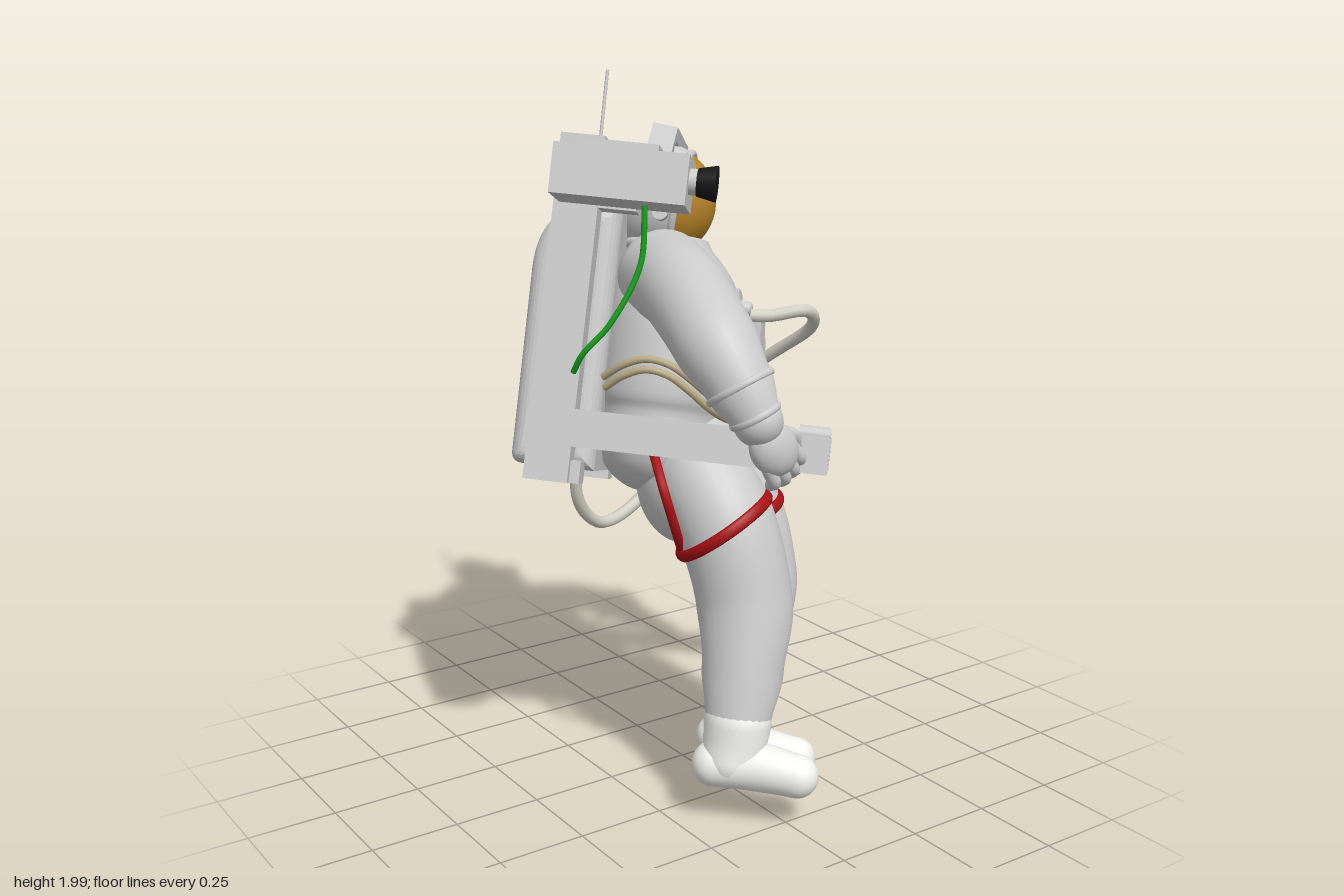
import * as THREE from 'three';

const V = (a) => new THREE.Vector3(a[0], a[1], a[2]);
const paint = (color) => new THREE.MeshStandardMaterial({ color, side: THREE.DoubleSide });
const grey = paint(0xcccccc), white = paint(0xf2f2ee), gold = paint(0xb98528), red = paint(0xa81014),
  green = paint(0x14a01c), tan = paint(0xb9aa86), hoseGrey = paint(0xd2d0c4), black = paint(0x161616);

function add(parent, name, geo, mat, pos = [0, 0, 0], rot = [0, 0, 0]) {
  const m = new THREE.Mesh(geo, mat);
  m.name = name;
  m.position.set(...pos);
  m.rotation.set(...rot);
  parent.add(m);
  return m;
}

const box = (parent, name, size, pos, rot) => add(parent, name, new THREE.BoxGeometry(...size), grey, pos, rot);

function cable(parent, name, pts, r, mat) {
  return add(parent, name, new THREE.TubeGeometry(new THREE.CatmullRomCurve3(pts.map(V)), 64, r, 10), mat);
}

// Tapered limb through [x, y, z, radius] stations, with round ends
function limb(parent, name, pts, mat) {
  const curve = new THREE.CatmullRomCurve3(pts.map(V));
  const rings = 40, sides = 28;
  const geo = new THREE.TubeGeometry(curve, rings, 1, sides);
  const pos = geo.attributes.position, nor = geo.attributes.normal;
  for (let i = 0; i <= rings; i++) {
    const c = curve.getPointAt(i / rings);
    const s = curve.getUtoTmapping(i / rings) * (pts.length - 1);
    const k = Math.min(Math.floor(s), pts.length - 2);
    const r = THREE.MathUtils.lerp(pts[k][3], pts[k + 1][3], THREE.MathUtils.smoothstep(s - k, 0, 1));
    for (let j = 0; j <= sides; j++) {
      const n = i * (sides + 1) + j;
      pos.setXYZ(n, c.x + nor.getX(n) * r, c.y + nor.getY(n) * r, c.z + nor.getZ(n) * r);
    }
  }
  const g = new THREE.Group();
  g.name = name;
  add(g, name + 'Skin', geo, mat);
  for (const p of [pts[0], pts[pts.length - 1]]) add(g, name + 'End', new THREE.SphereGeometry(p[3], 24, 16), mat, p.slice(0, 3));
  parent.add(g);
  return curve;
}

// Ring whose axis follows a given direction
function ring(parent, name, center, axis, r, tube, flat, mat) {
  const m = add(parent, name, new THREE.TorusGeometry(r, tube, 10, 40), mat, center);
  m.scale.z = flat;
  m.quaternion.setFromUnitVectors(new THREE.Vector3(0, 0, 1), V(axis).normalize());
}

// Glove: palm, four curled fingers and a thumb; dir = towards fingertips, across = towards thumb
function hand(parent, name, pos, dir, across) {
  const y = V(dir).normalize();
  const z = new THREE.Vector3().crossVectors(V(across), y).normalize();
  const x = new THREE.Vector3().crossVectors(y, z);
  const g = new THREE.Group();
  g.name = name;
  g.position.set(...pos);
  g.quaternion.setFromRotationMatrix(new THREE.Matrix4().makeBasis(x, y, z));
  g.scale.setScalar(1.2);
  add(g, 'palm', new THREE.SphereGeometry(1, 24, 16), grey).scale.set(0.055, 0.065, 0.036);
  for (let i = 0; i < 4; i++) {
    const fx = -0.036 + i * 0.024, len = 0.05 + (i % 3 ? 0.012 : 0);
    limb(g, 'finger', [[fx, 0.03, 0, 0.016], [fx * 1.1, 0.03 + len * 0.7, 0.008, 0.015], [fx * 1.1, 0.03 + len, 0.035, 0.013]], grey);
  }
  limb(g, 'thumb', [[0.035, -0.01, 0.01, 0.019], [0.062, 0.025, 0.025, 0.016], [0.06, 0.055, 0.04, 0.014]], grey);
  parent.add(g);
}

// Pack case: side outline with a rounded upper back, widened with soft edges
function packGeometry() {
  const s = new THREE.Shape();
  s.moveTo(-0.12, -0.37);
  s.lineTo(-0.32, -0.37);
  s.quadraticCurveTo(-0.35, -0.37, -0.351, -0.34);
  s.lineTo(-0.352, 0.16);
  s.quadraticCurveTo(-0.35, 0.33, -0.21, 0.345);
  s.lineTo(-0.12, 0.345);
  const bevel = 0.045, width = 0.48;
  const geo = new THREE.ExtrudeGeometry(s, { depth: width - 2 * bevel, bevelThickness: bevel, bevelSize: bevel, bevelOffset: -bevel, bevelSegments: 6, curveSegments: 18 });
  return geo.translate(0, 0, bevel - width / 2).rotateY(-Math.PI / 2);
}

export function createModel() {
  const root = new THREE.Group();
  root.name = 'spacewalker';

  // Tilted frame of the torso and jet pack: x = own left, y = up, z = forward
  const body = new THREE.Group();
  body.name = 'body';
  const up = V([0.231, 0.963, -0.139]).normalize();
  const left = new THREE.Vector3().crossVectors(up, V([0.75, -0.07, 0.66])).normalize();
  const fwd = new THREE.Vector3().crossVectors(left, up);
  body.quaternion.setFromRotationMatrix(new THREE.Matrix4().makeBasis(left, up, fwd));
  body.position.set(-0.03, 1.25, -0.06);
  root.add(body);

  // Torso and pelvis
  const profile = [[0, -0.42], [0.1, -0.405], [0.19, -0.35], [0.228, -0.26], [0.232, -0.19], [0.252, -0.14], [0.257, 0],
    [0.25, 0.1], [0.225, 0.18], [0.17, 0.24], [0.125, 0.275], [0.105, 0.3]];
  const spline = new THREE.SplineCurve(profile.map((p) => new THREE.Vector2(...p)));
  const outline = spline.getPoints(44).map((p) => new THREE.Vector2(Math.max(p.x, 0), p.y));
  add(body, 'torso', new THREE.LatheGeometry(outline, 48), grey, [0, 0, 0.02]).scale.z = 0.76;
  add(body, 'pelvis', new THREE.SphereGeometry(1, 40, 28), grey, [0, -0.35, 0.125]).scale.set(0.205, 0.2, 0.155);
  add(body, 'neckRing', new THREE.TorusGeometry(0.118, 0.014, 12, 40), grey, [0, 0.27, -0.02], [Math.PI / 2, 0, 0]);

  // Helmet with gold visor
  const helmet = new THREE.Group();
  helmet.name = 'helmet';
  helmet.position.set(0.003, 0.403, -0.05);
  helmet.rotation.x = 0.11;
  body.add(helmet);
  const cap = THREE.MathUtils.degToRad(66);
  add(helmet, 'helmetShell', new THREE.SphereGeometry(0.162, 48, 24, 0, Math.PI * 2, cap, Math.PI - cap).rotateX(Math.PI / 2), grey);
  add(helmet, 'visor', new THREE.SphereGeometry(0.158, 48, 24, 0, Math.PI * 2, 0, cap + 0.06).rotateX(Math.PI / 2), gold);
  add(helmet, 'visorRim', new THREE.TorusGeometry(0.148, 0.011, 10, 48), grey, [0, 0, 0.062]);
  box(helmet, 'lampBar', [0.28, 0.035, 0.07], [0, 0.17, -0.01]);
  for (const s of [-1, 1]) {
    box(helmet, 'lampBracket', [0.035, 0.12, 0.07], [s * 0.148, 0.125, -0.01], [0, 0, s * 0.25]);
    box(helmet, 'sideLamp', [0.045, 0.11, 0.07], [s * 0.18, 0.01, -0.01]);
    add(helmet, 'hinge', new THREE.CylinderGeometry(0.022, 0.022, 0.03, 20).rotateZ(Math.PI / 2), grey, [s * 0.16, -0.05, 0.03]);
  }

  // Chest controls
  box(body, 'chestPackRight', [0.14, 0.135, 0.06], [-0.065, 0.005, 0.195], [0, -0.15, 0]);
  box(body, 'chestPackLeft', [0.13, 0.12, 0.06], [0.065, 0.0, 0.192], [0, 0.3, 0]);
  box(body, 'chestValveBox', [0.14, 0.085, 0.06], [-0.02, 0.125, 0.185], [-0.2, 0, 0]);
  for (const x of [-0.055, 0.015]) {
    add(body, 'chestKnob', new THREE.CylinderGeometry(0.02, 0.024, 0.035, 20).rotateX(Math.PI / 2), grey, [x, 0.12, 0.225]);
  }

  // Jet pack: rounded case, side posts, forward arms
  add(body, 'packCase', packGeometry(), grey);
  for (const s of [-1, 1]) {
    const x = 0.014 + s * 0.293;
    box(body, 'post', [0.075, 0.92, 0.12], [x, 0.055, -0.232]);
    box(body, 'postTopThruster', [0.075, 0.15, 0.11], [x, 0.4, -0.125]);
    box(body, 'postTopCap', [0.12, 0.06, 0.08], [x - s * 0.035, 0.46, -0.215]);
    box(body, 'postFootThruster', [0.075, 0.06, 0.1], [x - s * 0.025, -0.375, -0.195]);
    box(body, 'controlArm', [0.085, 0.1, 0.68], [0.024 + s * 0.306, -0.258, 0.163]);
    add(body, 'handGrip', new THREE.CylinderGeometry(0.022, 0.022, 0.08, 20).rotateX(Math.PI / 2), grey, [0.024 + s * 0.306, -0.205, 0.46]);
  }
  cable(body, 'antenna', [[0.165, 0.36, -0.265], [0.165, 0.58, -0.267], [0.165, 0.793, -0.269]], 0.005, grey);

  // Camera on the right shoulder
  box(body, 'cameraBody', [0.165, 0.13, 0.35], [-0.405, 0.395, -0.1]);
  box(body, 'cameraTop', [0.09, 0.025, 0.22], [-0.405, 0.47, -0.12]);
  box(body, 'cameraMount', [0.12, 0.1, 0.12], [-0.3, 0.4, -0.09]);
  add(body, 'lensBarrel', new THREE.CylinderGeometry(0.034, 0.034, 0.05, 28).rotateX(Math.PI / 2), grey, [-0.425, 0.4, 0.085]);
  add(body, 'lens', new THREE.CylinderGeometry(0.047, 0.036, 0.05, 28).rotateX(Math.PI / 2), black, [-0.425, 0.4, 0.12]);

  // Waist hoses, ending at the pack
  for (const [drop, r] of [[0, 0.278], [0.028, 0.268]]) {
    const pts = [];
    for (let i = 0; i <= 16; i++) {
      const a = -0.6 + (i / 16) * (Math.PI + 1.2);
      pts.push([r * Math.cos(a), -0.165 - drop + 0.11 * Math.max(0, -Math.cos(a)) ** 4, 0.01 + (r - 0.046) * Math.sin(a)]);
    }
    cable(body, 'waistHose', pts, 0.01, tan);
  }

  // Arms
  const arms = {
    right: [[-0.08, 1.46, 0.03, 0.128], [-0.125, 1.44, 0.19, 0.117], [-0.168, 1.35, 0.385, 0.11], [-0.148, 1.25, 0.465, 0.09], [-0.115, 1.155, 0.505, 0.065]],
    left: [[0.1, 1.405, -0.18, 0.122], [0.22, 1.305, -0.31, 0.116], [0.328, 1.18, -0.337, 0.105], [0.385, 1.06, -0.27, 0.09], [0.415, 0.95, -0.19, 0.062]],
  };
  for (const side in arms) {
    const c = limb(root, side + 'Arm', arms[side], grey);
    for (const [t, r] of [[0.77, 0.09], [0.96, 0.066]]) {
      ring(root, side + 'ArmCuff', c.getPoint(t).toArray(), c.getTangent(t).toArray(), r, 0.006, 1.6, grey);
    }
  }
  hand(root, 'rightHand', [-0.08, 1.085, 0.525], [0.55, -0.8, 0.1], [0.8, 0.4, 0.05]);
  hand(root, 'leftHand', [0.425, 0.88, -0.135], [-0.15, -0.65, 0.7], [-0.5, 0.5, 0.4]);
  for (const [y, w] of [[1.21, 0.08], [1.16, 0.1], [1.105, 0.08]]) {
    box(root, 'armChecklist', [w, 0.05, 0.11], [0.425, y, -0.275], [0, 0.75, -0.2]);
  }

  // Legs and boots
  const legs = {
    right: {
      leg: [[-0.055, 0.94, 0.15, 0.132], [-0.045, 0.82, 0.265, 0.137], [-0.025, 0.6, 0.335, 0.132], [-0.055, 0.42, 0.37, 0.112], [-0.085, 0.28, 0.39, 0.09]],
      boot: [[-0.085, 0.285, 0.39, 0.093], [-0.095, 0.22, 0.39, 0.088], [-0.105, 0.18, 0.39, 0.078]],
      foot: [[-0.145, 0.165, 0.365, 0.063], [-0.06, 0.165, 0.45, 0.067], [0.012, 0.15, 0.53, 0.06]],
    },
    left: {
      leg: [[0.07, 0.9, -0.03, 0.132], [0.14, 0.77, 0.045, 0.143], [0.175, 0.58, 0.105, 0.129], [0.13, 0.4, 0.155, 0.109], [0.095, 0.26, 0.19, 0.088]],
      boot: [[0.095, 0.265, 0.19, 0.091], [0.085, 0.2, 0.19, 0.085], [0.07, 0.14, 0.19, 0.074]],
      foot: [[0.01, 0.13, 0.165, 0.062], [0.1, 0.09, 0.24, 0.067], [0.19, 0.062, 0.3, 0.06]],
    },
  };
  for (const side in legs) {
    limb(root, side + 'Leg', legs[side].leg, grey);
    limb(root, side + 'BootShaft', legs[side].boot, white);
    limb(root, side + 'BootFoot', legs[side].foot, white);
  }

  // Thigh straps
  ring(root, 'rightThighStrap', [-0.045, 0.805, 0.265], [-0.5, 1, -0.5], 0.146, 0.01, 1.7, red);
  ring(root, 'leftThighStrap', [0.142, 0.75, 0.05], [-0.3, 1, -0.2], 0.147, 0.01, 1.7, red);
  cable(root, 'rightHipStrap', [[-0.15, 0.73, 0.22], [-0.21, 0.83, 0.27], [-0.24, 0.94, 0.26], [-0.21, 1.03, 0.16]], 0.013, red);
  cable(root, 'leftHipStrap', [[0.09, 0.7, -0.07], [0.15, 0.64, -0.08], [0.22, 0.7, -0.2], [0.21, 0.81, -0.24]], 0.013, red);
  cable(root, 'leftOuterStrap', [[0.27, 0.79, 0], [0.27, 0.85, -0.07], [0.22, 0.88, -0.2]], 0.012, red);

  // Supply hose from chest to pack underside, and camera cable
  cable(root, 'supplyHose', [[0.12, 1.34, 0.05], [0.22, 1.33, 0.1], [0.33, 1.34, 0.14], [0.4, 1.28, 0.08], [0.37, 1.17, -0.08],
    [0.28, 1.05, -0.22], [0.16, 0.87, -0.28], [0.02, 0.72, -0.28], [-0.12, 0.69, -0.25], [-0.22, 0.78, -0.21], [-0.25, 0.93, -0.18]], 0.018, hoseGrey);
  cable(root, 'cameraCable', [[-0.26, 1.68, 0.21], [-0.275, 1.53, 0.21], [-0.35, 1.38, 0.18], [-0.41, 1.3, 0.14], [-0.42, 1.25, 0.11]], 0.008, green);

  return root;
}
